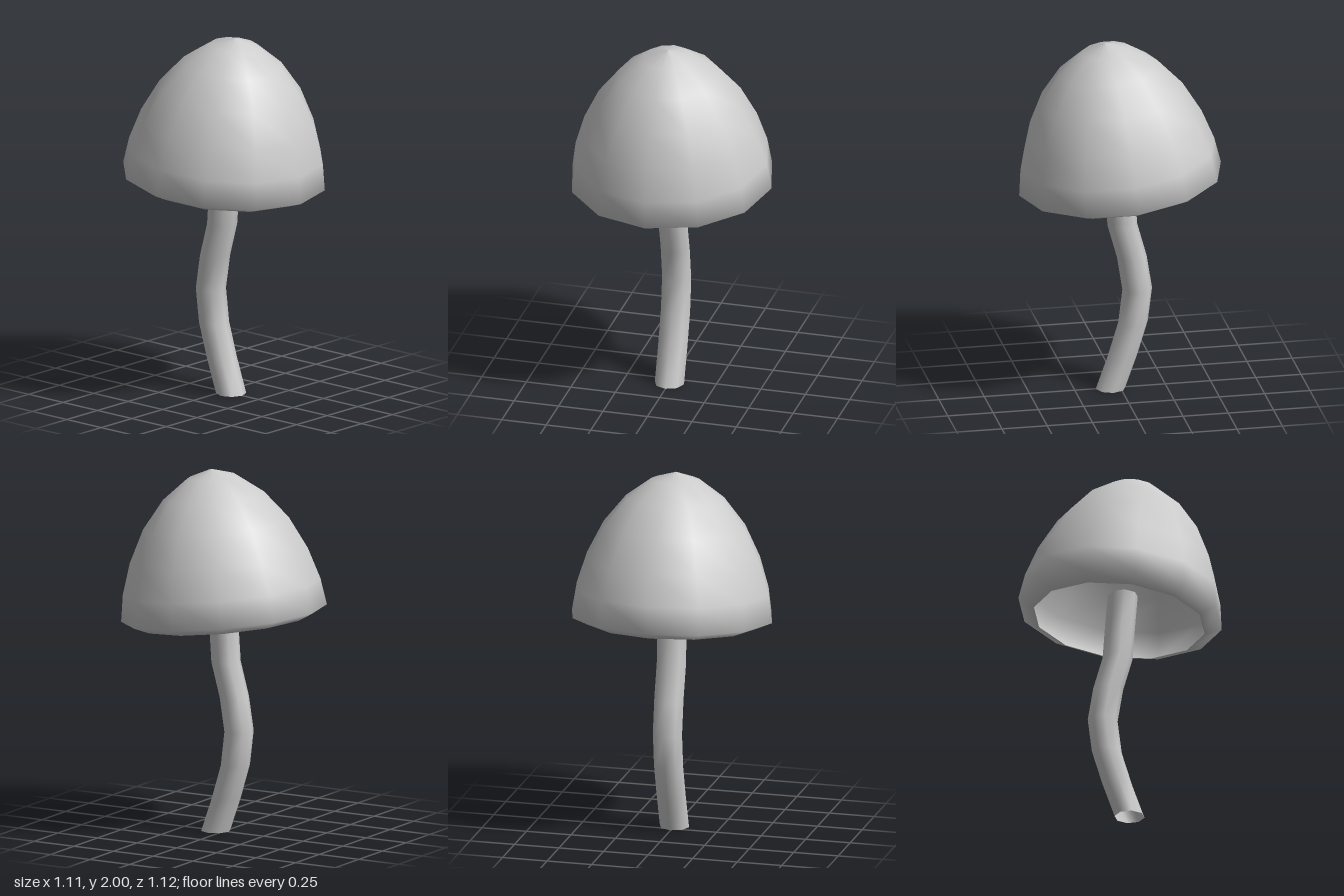
import * as THREE from 'three';
import { mergeVertices } from 'three/addons/utils/BufferGeometryUtils.js';

const material = new THREE.MeshStandardMaterial({ color: 0xcccccc, side: THREE.DoubleSide });

// Hollow twelve-sided cap with a turned-in lip, tilted to one side
function createCap() {
  const profile = [
    [0.47, -0.04], [0.56, 0], [0.538, 0.146], [0.485, 0.316],
    [0.397, 0.494], [0.275, 0.647], [0.133, 0.753], [0, 0.795],
  ].map(([r, h]) => new THREE.Vector2(r, h));
  const cap = new THREE.Mesh(new THREE.LatheGeometry(profile, 12), material);
  cap.name = 'cap';
  cap.position.y = 1.21;
  cap.rotation.z = -0.103;
  return cap;
}

// Open eight-sided tube whose level rings are shifted sideways into a bend
function createStem() {
  const shifts = [0.052, -0.015, -0.072, -0.095, -0.065, -0.013, 0, 0.015];
  const rings = shifts.length - 1;
  const height = 1.32;
  let geometry = new THREE.CylinderGeometry(0.082, 0.082, height, 8, rings, true);
  geometry.translate(0, height / 2, 0);
  const pos = geometry.attributes.position;
  for (let i = 0; i < pos.count; i++) {
    const ring = Math.round((pos.getY(i) / height) * rings);
    pos.setX(i, pos.getX(i) + shifts[ring]);
  }
  // Weld the seam so the sides shade smoothly
  geometry.deleteAttribute('uv');
  geometry.deleteAttribute('normal');
  geometry = mergeVertices(geometry);
  geometry.computeVertexNormals();
  const stem = new THREE.Mesh(geometry, material);
  stem.name = 'stem';
  return stem;
}

export function createModel() {
  const mushroom = new THREE.Group();
  mushroom.name = 'mushroom';
  mushroom.add(createCap(), createStem());
  return mushroom;
}
